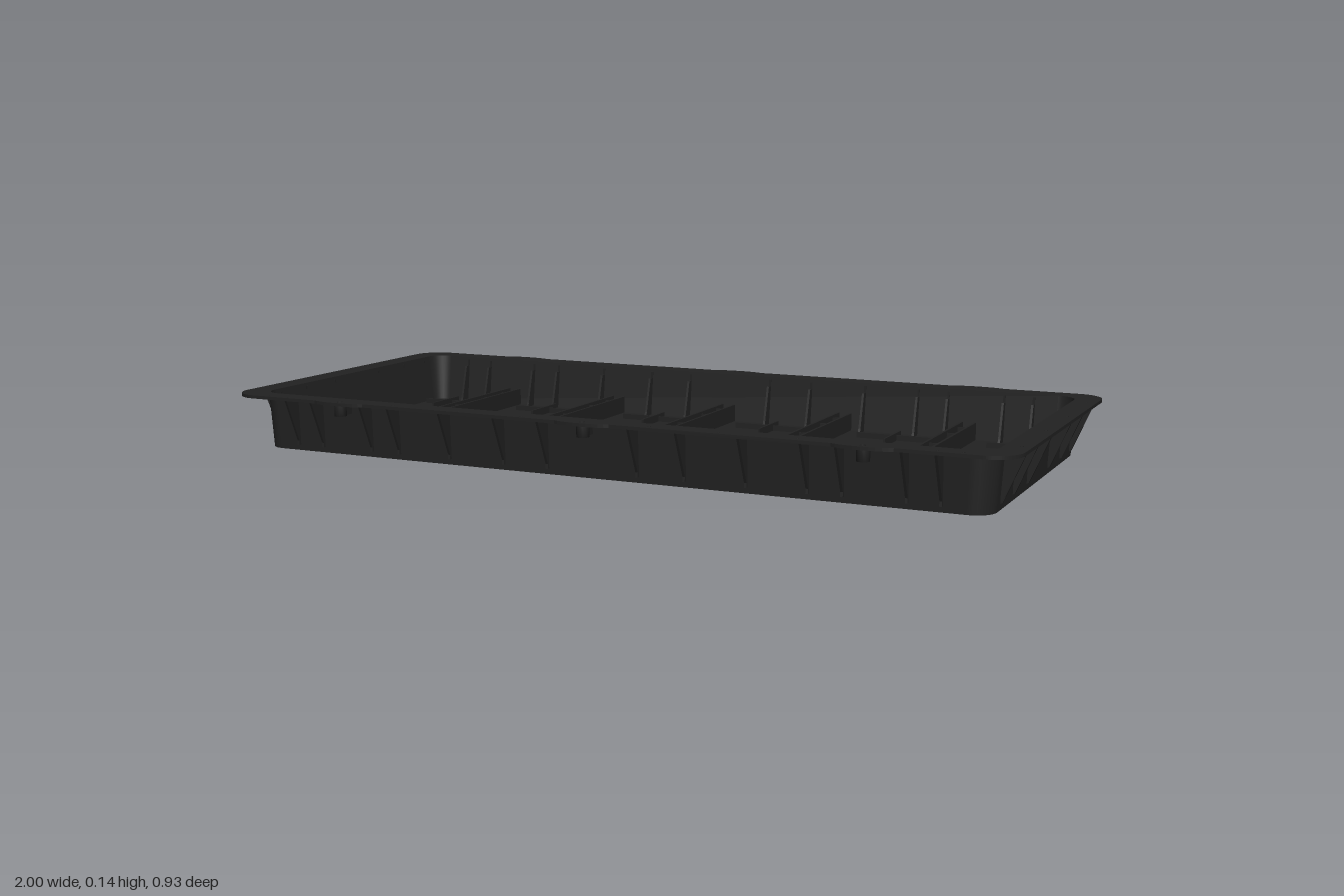
import * as THREE from 'three';

const black = new THREE.MeshStandardMaterial({ color: 0x222222 });
black.name = 'black plastic';

const FLOOR = 0.014, TOP = 0.14, RIM = 0.132;

// Rounded rectangle as a list of [x, z] points
function ring(hx, hz, r, n = 8) {
  const pts = [];
  [[1, 1], [-1, 1], [-1, -1], [1, -1]].forEach(([sx, sz], q) => {
    for (let i = 0; i <= n; i++) {
      const a = (q + i / n) * Math.PI / 2;
      pts.push([sx * (hx - r) + r * Math.cos(a), sz * (hz - r) + r * Math.sin(a)]);
    }
  });
  return pts;
}

// Wall band between two rounded rectangles, smooth around the corners
function band(a, b) {
  const ra = ring(a.x, a.z, a.r), rb = ring(b.x, b.z, b.r), n = ra.length;
  const pos = [], idx = [];
  for (let i = 0; i < n; i++) {
    pos.push(ra[i][0], a.y, ra[i][1], rb[i][0], b.y, rb[i][1]);
    const p = 2 * i, q = 2 * ((i + 1) % n);
    idx.push(p, p + 1, q, q, p + 1, q + 1);
  }
  const g = new THREE.BufferGeometry();
  g.setAttribute('position', new THREE.Float32BufferAttribute(pos, 3));
  g.setIndex(idx);
  g.computeVertexNormals();
  return g;
}

function plate(hx, hz, r) {
  return new THREE.ShapeGeometry(new THREE.Shape(ring(hx, hz, r).map(p => new THREE.Vector2(...p))));
}

// Thin upright rib from a side profile; local +x points along the profile
function ribGeometry(points, thick) {
  const s = new THREE.Shape(points.map(p => new THREE.Vector2(...p)));
  return new THREE.ExtrudeGeometry(s, { depth: thick, bevelEnabled: false }).translate(0, 0, -thick / 2);
}

export function createModel() {
  const model = new THREE.Group();
  model.name = 'tray';
  const group = name => {
    const g = new THREE.Group();
    g.name = name;
    model.add(g);
    return g;
  };
  const add = (parent, name, geo, x = 0, y = 0, z = 0, ry = 0) => {
    const m = new THREE.Mesh(geo, black);
    m.name = name;
    m.position.set(x, y, z);
    m.rotation.y = ry;
    parent.add(m);
    return m;
  };

  // Basin: outer and inner walls, underside and floor
  const basin = group('basin');
  const outLow = { x: 0.936, z: 0.4, r: 0.05, y: 0 }, outHigh = { x: 0.945, z: 0.406, r: 0.054, y: RIM };
  const inHigh = { x: 0.94, z: 0.402, r: 0.05, y: TOP }, inLow = { x: 0.924, z: 0.387, r: 0.036, y: FLOOR };
  add(basin, 'outerWall', band(outLow, outHigh));
  add(basin, 'innerWall', band(inHigh, inLow));
  add(basin, 'underside', plate(0.936, 0.4, 0.05).rotateX(Math.PI / 2));
  add(basin, 'floor', plate(0.924, 0.387, 0.036).rotateX(-Math.PI / 2), 0, FLOOR);

  // Flange outline with three bulging tabs on each long side
  const tabs = [-0.67, 0, 0.67];
  const X = 1, Z = 0.455, R = 0.07;
  const outline = new THREE.Shape();
  outline.moveTo(-X + R, -Z);
  for (const side of [1, -1]) {
    for (const t of tabs) {
      outline.lineTo(side * (t - 0.07), -side * Z);
      outline.bezierCurveTo(side * (t - 0.04), -side * 0.4715, side * (t + 0.04), -side * 0.4715, side * (t + 0.07), -side * Z);
    }
    outline.lineTo(side * (X - R), -side * Z);
    outline.absarc(side * (X - R), -side * (Z - R), R, side > 0 ? -Math.PI / 2 : Math.PI / 2, side > 0 ? 0 : Math.PI, false);
    outline.lineTo(side * X, side * (Z - R));
    outline.absarc(side * (X - R), side * (Z - R), R, side > 0 ? 0 : Math.PI, side > 0 ? Math.PI / 2 : Math.PI * 1.5, false);
  }
  outline.holes.push(new THREE.Path(ring(0.94, 0.402, 0.05).map(p => new THREE.Vector2(...p))));
  const hole = (x, z, r) => outline.holes.push(new THREE.Path().absarc(x, z, r, 0, Math.PI * 2, true));
  for (const s of [-1, 1]) {
    for (const t of tabs) hole(t, s * 0.449, 0.007);
    for (const x of [0.165, 0.335, 0.52, 0.83, 0.885]) for (const m of [-1, 1]) hole(m * x, s * 0.44, 0.004);
    for (const z of [-0.325, -0.105, 0.105, 0.325]) hole(s * 0.978, z, 0.004);
  }
  const flange = new THREE.ExtrudeGeometry(outline, { depth: TOP - RIM, bevelEnabled: false, curveSegments: 10 });
  add(group('rim'), 'flange', flange.rotateX(-Math.PI / 2), 0, RIM);

  // Hollow screw bosses below the tabs
  const bosses = group('screwBosses');
  const bossProfile = [[0.007, RIM], [0.007, 0.105], [0.015, 0.105], [0.015, RIM]].map(p => new THREE.Vector2(...p));
  const boss = new THREE.LatheGeometry(bossProfile, 16);
  for (const t of tabs) for (const s of [-1, 1]) {
    add(bosses, 'boss', boss, t, 0, s * 0.446);
    add(bosses, 'bossWeb', new THREE.BoxGeometry(0.008, 0.027, 0.03), t, 0.1185, s * 0.418);
  }

  // Tapered ribs: gussets outside the walls, buttresses inside
  const gussets = group('outerGussets'), buttresses = group('innerButtresses');
  const gusset = ribGeometry([[-0.004, 0.015], [0.001, 0.018], [0.05, RIM], [-0.004, RIM]], 0.006);
  const buttress = ribGeometry([[-0.02, FLOOR], [0.032, FLOOR], [0.028, 0.025], [0.004, 0.115], [-0.012, 0.115]], 0.006);
  const ribX = [0.117, 0.235, 0.385, 0.53, 0.61, 0.755, 0.83];
  for (const s of [-1, 1]) {
    const turn = -s * Math.PI / 2;
    for (const x of ribX) for (const m of [-1, 1]) {
      add(gussets, 'sideGusset', gusset, m * x, 0, s * 0.403, turn);
      add(buttresses, 'sideButtress', buttress, m * x, 0, s * 0.388, -turn);
    }
    for (const z of [0.1, 0.225, 0.33]) for (const m of [-1, 1]) {
      add(gussets, 'endGusset', gusset, s * 0.942, 0, m * z, s > 0 ? 0 : Math.PI);
    }
  }

  // Cross dividers: twin plates joined by short ties
  const dividers = group('dividers');
  const H = 0.045;
  const wall = new THREE.BoxGeometry(0.006, H, 0.776), tie = new THREE.BoxGeometry(0.034, H - 0.006, 0.005);
  for (const x of [-0.67, -0.335, 0, 0.333, 0.667]) {
    for (const s of [-1, 1]) {
      add(dividers, 'dividerPlate', wall, x + s * 0.017, FLOOR + H / 2);
      for (const z of [0.095, 0.245, 0.34]) add(dividers, 'dividerTie', tie, x, FLOOR + H / 2 - 0.003, s * z);
    }
  }

  // Floor details: long ridges and raised crosses
  const details = group('floorRibs');
  for (const s of [-1, 1]) {
    add(details, 'longRidge', new THREE.BoxGeometry(1.846, 0.004, 0.004), 0, FLOOR + 0.002, s * 0.158);
    for (const x of [-0.825, -0.505, -0.167, 0.167, 0.505, 0.825]) {
      add(details, 'crossLong', new THREE.BoxGeometry(Math.abs(x) > 0.8 ? 0.17 : 0.21, 0.014, 0.005), x, FLOOR + 0.007, s * 0.295);
      add(details, 'crossShort', new THREE.BoxGeometry(0.005, 0.02, 0.13), x, FLOOR + 0.01, s * 0.265);
    }
  }
  return model;
}
